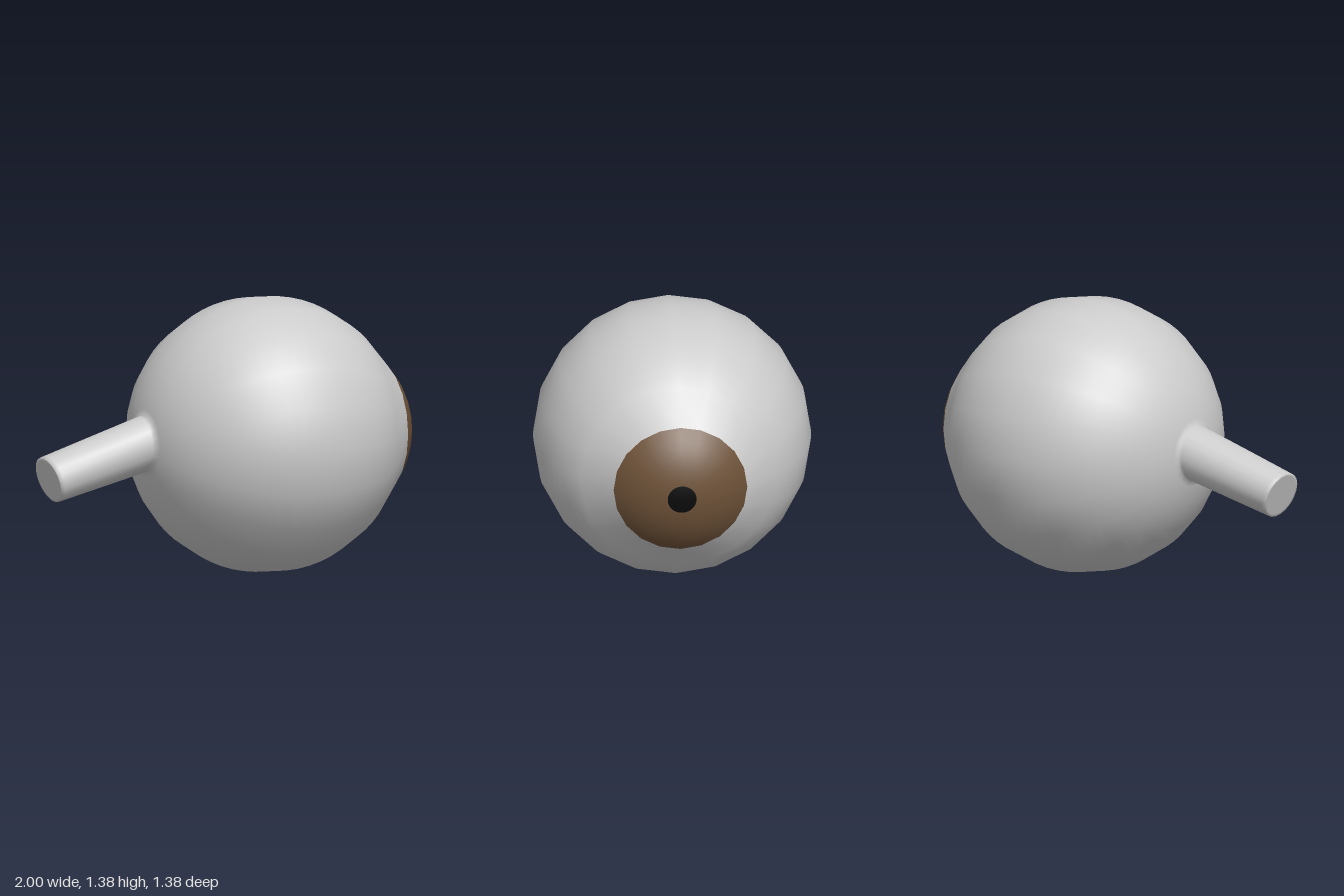
import * as THREE from 'three';
import { mergeVertices } from 'three/addons/utils/BufferGeometryUtils.js';

const SIDES = 20;
const CENTER_Y = 0.692, BALL_X = 0.235, BALL_R = 0.692;
const JOINT_X = -0.44, END_X = -0.97;

// Lathe around the x axis; points are [x, radius] from back to front
function turn(points, sides) {
  const profile = points.map(([x, r]) => new THREE.Vector2(r, x));
  return new THREE.LatheGeometry(profile, sides).rotateZ(-Math.PI / 2);
}

// Points on a circular arc, angles measured from the back pole
function arc(cx, radius, from, to, steps) {
  const points = [];
  for (let i = 0; i <= steps; i++) {
    const a = from + (to - from) * i / steps;
    points.push([cx - radius * Math.cos(a), Math.max(0, radius * Math.sin(a))]);
  }
  return points;
}

function addPart(group, name, geometry, color) {
  const mesh = new THREE.Mesh(geometry, new THREE.MeshStandardMaterial({ color }));
  mesh.name = name;
  mesh.position.y = CENTER_Y;
  group.add(mesh);
}

// Eyeball and optic nerve as one smooth skin
function bodyGeometry() {
  let geometry = turn([
    [END_X, 0], [END_X, 0.115], [END_X, 0.13], [END_X + 0.02, 0.131],
    [-0.7, 0.136], [JOINT_X - 0.02, 0.14], [JOINT_X, 0.142],
    ...arc(BALL_X, BALL_R, 0.25, Math.PI * 0.75, 22),
    [0.865, 0.333],
  ], SIDES);

  // Slope the nerve downward, tilting and slightly flattening its end
  const p = geometry.attributes.position;
  for (let i = 0; i < p.count; i++) {
    const x = p.getX(i), y = p.getY(i);
    if (x >= JOINT_X) continue;
    const t = (JOINT_X - x) / (JOINT_X - END_X);
    p.setX(i, x - 0.25 * y * t);
    p.setY(i, y * (1 - 0.13 * t) - 0.145 * t);
  }

  geometry.deleteAttribute('uv');
  geometry.deleteAttribute('normal');
  geometry = mergeVertices(geometry);
  geometry.computeVertexNormals();
  return geometry;
}

export function createModel() {
  const group = new THREE.Group();
  group.name = 'eye';

  addPart(group, 'eyeballAndOpticNerve', bodyGeometry(), 0xcccccc);

  // Bulging iris cap
  const capR = 0.482, capX = 0.998 - capR;
  const rim = Math.PI - Math.asin(0.333 / capR);
  addPart(group, 'iris', turn(arc(capX, capR, rim, Math.PI, 10), SIDES), 0x6e5238);

  // Pupil disc just proud of the iris
  const edge = Math.PI - Math.asin(0.072 / capR);
  addPart(group, 'pupil', turn(arc(capX + 0.002, capR, edge, Math.PI, 4), 40), 0x0a0a0a);

  return group;
}
